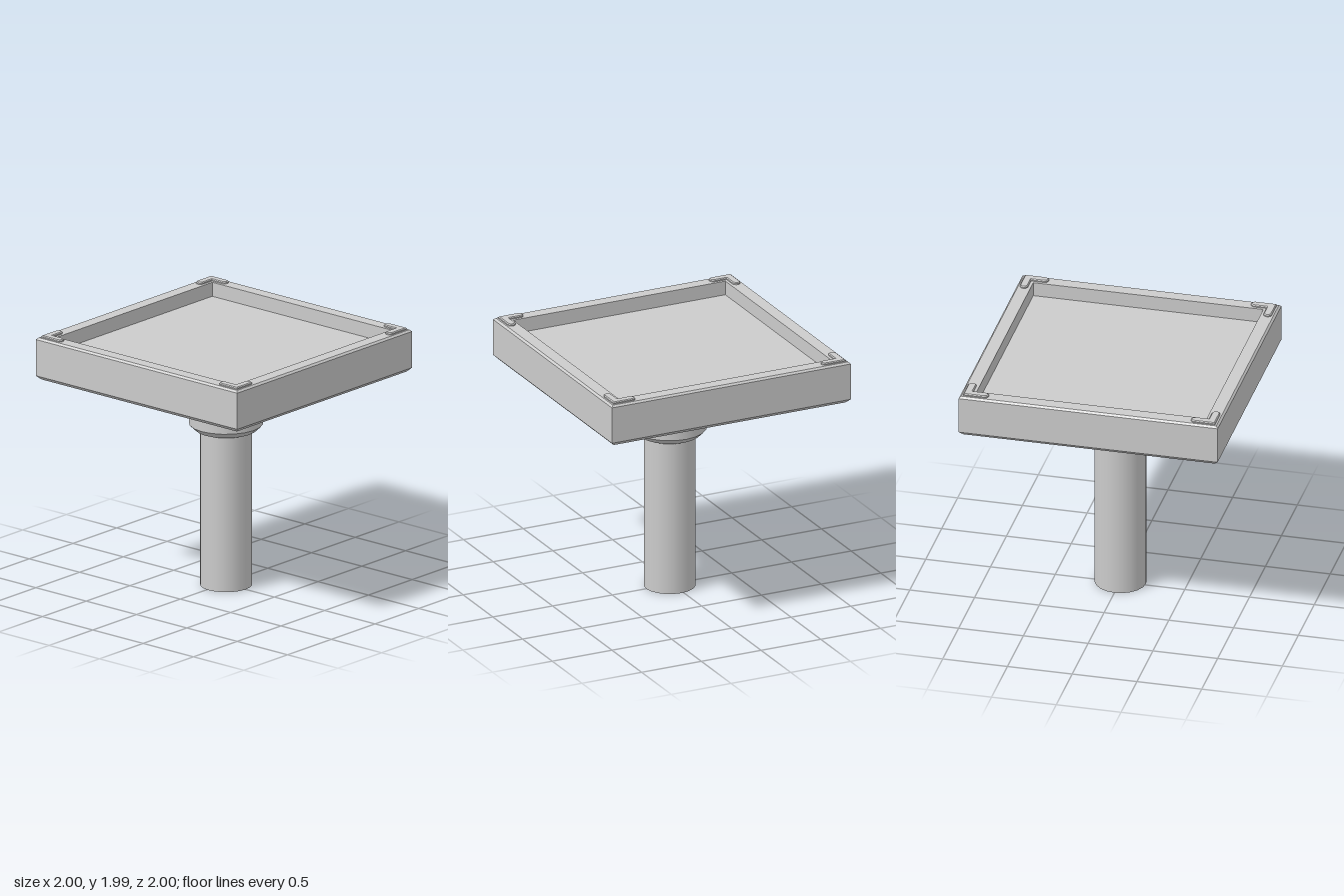
import * as THREE from 'three';
import { toCreasedNormals } from 'three/addons/utils/BufferGeometryUtils.js';

const smooth = new THREE.MeshStandardMaterial({ color: 0xcccccc });
const flat = new THREE.MeshStandardMaterial({ color: 0xcccccc, flatShading: true });
const open = new THREE.MeshStandardMaterial({ color: 0xcccccc, side: THREE.DoubleSide });

export function createModel() {
  const group = new THREE.Group();
  const add = (name, geometry, material, parent = group) => {
    const mesh = new THREE.Mesh(geometry, material);
    mesh.name = name;
    parent.add(mesh);
    return mesh;
  };
  const profile = (pts, scale = 1) => pts.map(([r, y]) => new THREE.Vector2(r * scale, y));

  // Square tray: a four-sided lathe, so each radius is a half-width times sqrt(2)
  const trayProfile = profile([
    [0, 1.64], [0.97, 1.64], [1, 1.67], [1, 1.955], [0.985, 1.97],
    [0.888, 1.97], [0.888, 1.86], [0, 1.86],
  ], Math.SQRT2);
  add('tray', new THREE.LatheGeometry(trayProfile, 4, Math.PI / 4).toNonIndexed(), flat);

  // Thin mounting plate under the tray
  add('mountingPlate', new THREE.BoxGeometry(0.94, 0.03, 0.94), flat).position.y = 1.63;

  // Pedestal, slightly off centre
  const pedestal = new THREE.Group();
  pedestal.name = 'pedestal';
  pedestal.position.x = 0.02;
  group.add(pedestal);
  const turned = (name, pts) => add(name,
    toCreasedNormals(new THREE.LatheGeometry(profile(pts), 20), 0.6), smooth, pedestal);
  turned('upperCollar', [[0, 1.445], [0.332, 1.445], [0.344, 1.457], [0.344, 1.62], [0, 1.62]]);
  turned('lowerCollar', [[0, 1.225], [0.232, 1.225], [0.279, 1.27], [0.279, 1.45], [0, 1.45]]);
  add('post', new THREE.CylinderGeometry(0.196, 0.196, 1.24, 20, 1, true), open, pedestal)
    .position.y = 0.62;

  // L-shaped corner pads with rounded tips
  const c = 0.972, len = 0.19, w = 0.062, r = w / 2;
  const ell = new THREE.Shape();
  ell.moveTo(c, c);
  ell.lineTo(c - len + r, c);
  ell.absarc(c - len + r, c - r, r, Math.PI / 2, Math.PI * 1.5, false);
  ell.lineTo(c - w, c - w);
  ell.lineTo(c - w, c - len + r);
  ell.absarc(c - r, c - len + r, r, Math.PI, Math.PI * 2, false);
  ell.closePath();
  const padGeometry = new THREE.ExtrudeGeometry(ell, {
    depth: 0.009, bevelThickness: 0.007, bevelSize: 0.007, bevelOffset: -0.007,
    bevelSegments: 1, curveSegments: 8,
  });
  padGeometry.rotateX(-Math.PI / 2);
  for (let i = 0; i < 4; i++) {
    const pad = add('cornerPad' + (i + 1), padGeometry, flat);
    pad.position.y = 1.97;
    pad.rotation.y = i * Math.PI / 2;
  }
  return group;
}
